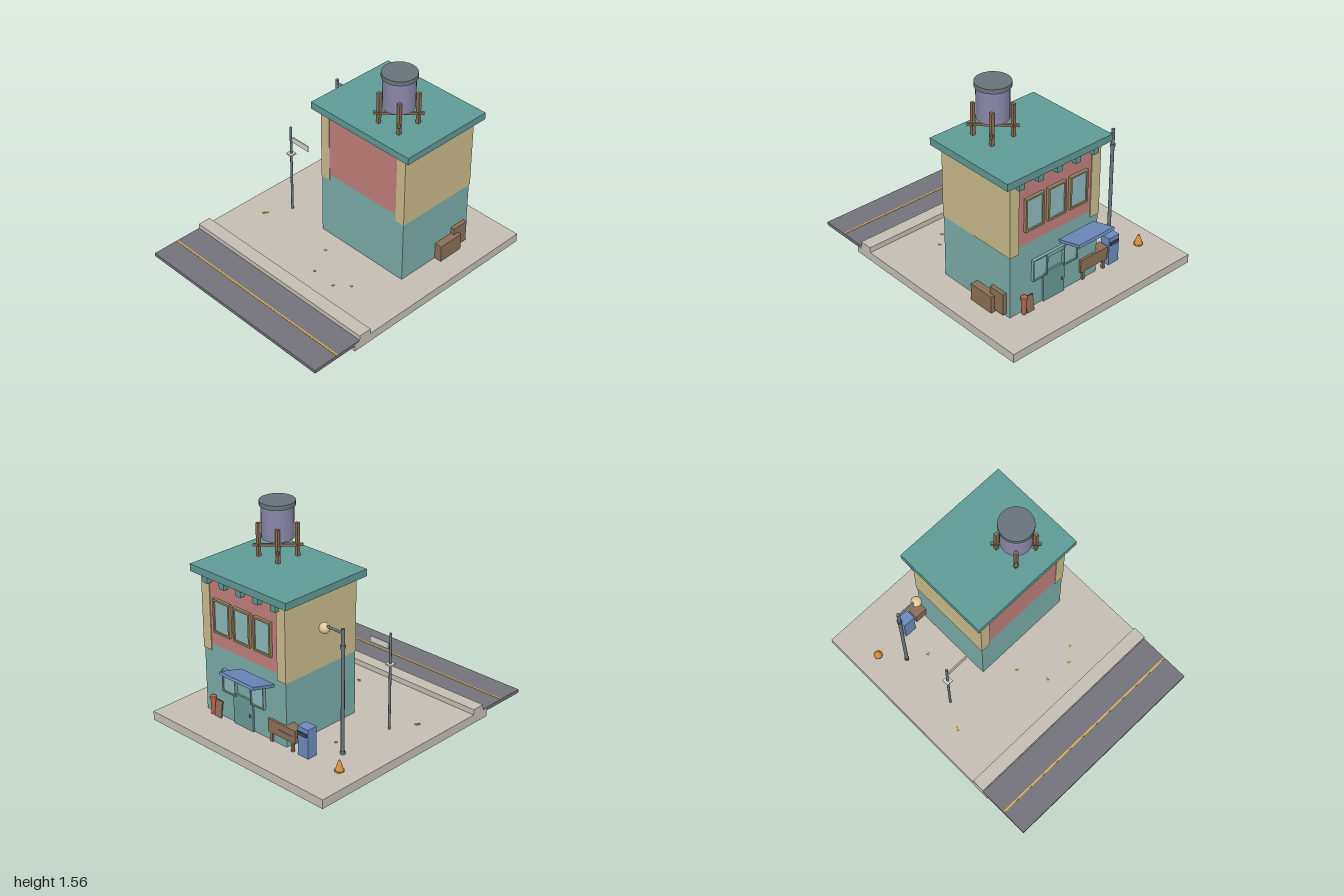
import * as THREE from 'three';

const COLORS = {
  paving: 0xc4beb4, road: 0x74727a, line: 0xd8b04a, teal: 0x7aaca8, roof: 0x5f9a96,
  red: 0xc07f7b, sand: 0xcabb8c, tank: 0x8a86a8, metal: 0x68747b, wood: 0x8b6f57,
  blue: 0x6d8bbd, glow: 0xe0cc9a, orange: 0xd9963f, hydrant: 0xc0604f, glass: 0x8db8bc,
  white: 0xd4d4ce, dark: 0x3f4c63, frame: 0x97875f, door: 0x689a97,
};
const mats = {};
const mat = (c) => (mats[c] ??= new THREE.MeshStandardMaterial({ color: COLORS[c] }));

const GROUND = 0.067;
const BACK = -0.706;

export function createModel() {
  const root = new THREE.Group();

  const add = (parent, name, geo, color, x = 0, y = 0, z = 0) => {
    const m = new THREE.Mesh(geo, mat(color));
    m.name = name;
    m.position.set(x, y, z);
    parent.add(m);
    return m;
  };
  // Box given by its extents
  const box = (parent, name, color, x0, x1, y0, y1, z0, z1) =>
    add(parent, name, new THREE.BoxGeometry(x1 - x0, y1 - y0, z1 - z0), color,
      (x0 + x1) / 2, (y0 + y1) / 2, (z0 + z1) / 2);
  // Upright cylinder given by its bottom and top
  const cyl = (parent, name, color, x, z, y0, y1, rBottom, rTop = rBottom, sides = 16) =>
    add(parent, name, new THREE.CylinderGeometry(rTop, rBottom, y1 - y0, sides), color, x, (y0 + y1) / 2, z);
  const group = (name) => {
    const g = new THREE.Group();
    g.name = name;
    root.add(g);
    return g;
  };

  // Ground, kerb and road
  const street = group('street');
  box(street, 'pavement', 'paving', -0.82, 0.82, 0, GROUND, -1, 0.64);
  box(street, 'kerb', 'paving', -0.82, 0.82, 0.05, 0.108, 0.495, 0.595);
  box(street, 'road', 'road', -0.82, 0.82, 0.045, 0.071, 0.595, 1);
  box(street, 'roadLine', 'line', -0.82, 0.82, 0.07, 0.0735, 0.794, 0.806);

  // Scattered scraps on the pavement
  [[-0.62, 0.12], [-0.63, 0.137], [-0.39, -0.43], [-0.01, 0.11], [0.1, 0.32], [0.3, 0.335], [0.395, 0.25]]
    .forEach(([x, z], i) => {
      box(street, 'scrap', 'line', x - 0.009, x + 0.009, GROUND, GROUND + 0.006, z - 0.008, z + 0.008).rotation.y = i;
    });

  // Building shell
  const house = group('building');
  box(house, 'groundFloor', 'teal', -0.2, 0.587, GROUND, 0.594, -0.704, -0.046);
  box(house, 'upperFloor', 'red', -0.13, 0.52, 0.594, 1.104, -0.704, -0.046);
  for (const [x0, x1] of [[-0.205, -0.125], [0.515, 0.592]])
    box(house, 'sideWall', 'sand', x0, x1, 0.545, 1.104, -0.71, -0.042);
  box(house, 'roof', 'roof', -0.26, 0.652, 1.104, 1.157, -0.753, 0);
  for (let i = 0; i < 5; i++) {
    const x = -0.13 + i * 0.1625;
    box(house, 'roofBracket', 'roof', x - 0.023, x + 0.023, 1.053, 1.104, -0.742, BACK + 0.01);
  }

  // Framed window: outline with a hole and a recessed pane
  const windowAt = (name, x, y, w, h, rim, frameColor) => {
    const s = new THREE.Shape();
    const rect = (p, a, b) => p.moveTo(-a, -b).lineTo(a, -b).lineTo(a, b).lineTo(-a, b).closePath();
    rect(s, w / 2, h / 2);
    const hole = rect(new THREE.Path(), w / 2 - rim, h / 2 - rim);
    s.holes.push(hole);
    const geo = new THREE.ExtrudeGeometry(s, { depth: 0.026, bevelEnabled: false });
    add(house, name + 'Frame', geo, frameColor, x, y, -0.727);
    box(house, name + 'Pane', 'glass', x - w / 2 + rim, x + w / 2 - rim, y - h / 2 + rim, y + h / 2 - rim, -0.717, -0.7);
  };
  for (const x of [0, 0.195, 0.39]) windowAt('upperWindow', x, 0.825, 0.16, 0.25, 0.014, 'frame');

  // Shopfront: two windows, lintel, door and awning
  for (const x of [0.06, 0.335]) windowAt('shopWindow', x, 0.362, 0.13, 0.166, 0.008, 'teal');
  box(house, 'doorLintel', 'teal', 0.12, 0.275, 0.415, 0.445, -0.725, -0.7);
  box(house, 'door', 'door', 0.11, 0.3, GROUND, 0.3, -0.718, -0.7);
  cyl(house, 'doorKnob', 'metal', 0.135, -0.72, 0.17, 0.19, 0.007);
  const awning = box(house, 'awning', 'blue', -0.13, 0.19, 0.532, 0.554, -0.934, -0.736);
  awning.rotation.x = 0.26;

  // Rooftop water tank on four legs with crossed braces
  const tower = group('waterTower');
  const tx = 0.325, tz = -0.248;
  cyl(tower, 'tank', 'tank', tx, tz, 1.295, 1.53, 0.113, 0.113, 24);
  cyl(tower, 'tankLid', 'metal', tx, tz, 1.527, 1.56, 0.124, 0.124, 24);
  for (const sx of [-1, 1]) {
    for (const sz of [-1, 1]) {
      const x = tx + sx * 0.093, z = tz + sz * 0.093;
      box(tower, 'towerLeg', 'wood', x - 0.012, x + 0.012, 1.155, 1.397, z - 0.012, z + 0.012);
    }
    const brace = box(tower, 'towerBrace', 'wood', tx - 0.17, tx + 0.17, 1.227, 1.245, tz - 0.01, tz + 0.01);
    brace.rotation.y = sx * Math.PI / 4;
  }

  // Street lamp
  const lamp = group('streetLamp');
  cyl(lamp, 'lampPost', 'metal', -0.525, -0.508, GROUND, 0.985, 0.013);
  cyl(lamp, 'lampCollar', 'metal', -0.525, -0.508, 0.845, 0.867, 0.019);
  cyl(lamp, 'lampFoot', 'metal', -0.525, -0.508, GROUND, 0.09, 0.017);
  const arm = cyl(lamp, 'lampArm', 'metal', -0.445, -0.508, 0.87, 1.04, 0.009);
  arm.rotation.z = Math.PI / 2;
  add(lamp, 'lampGlobe', new THREE.SphereGeometry(0.038, 20, 14), 'glow', -0.363, 0.935, -0.508);

  // Street sign
  const sign = group('streetSign');
  cyl(sign, 'signPost', 'metal', -0.525, -0.05, GROUND, 0.79, 0.009);
  box(sign, 'signBoard', 'white', -0.508, -0.346, 0.67, 0.714, -0.054, -0.046);
  box(sign, 'signPlate', 'white', -0.55, -0.5, 0.555, 0.566, -0.075, -0.025);

  // Mailbox
  const mail = group('mailbox');
  box(mail, 'mailboxBody', 'blue', -0.41, -0.315, GROUND, 0.284, -0.715, -0.636);
  box(mail, 'mailboxFlap', 'dark', -0.4, -0.325, 0.225, 0.25, -0.724, -0.71);

  // Wooden bench beside the back wall
  const bench = group('bench');
  box(bench, 'benchUpper', 'wood', -0.297, -0.04, 0.187, 0.235, -0.722, -0.64);
  box(bench, 'benchLower', 'wood', -0.295, -0.04, 0.135, 0.185, -0.72, -0.642);
  for (const x of [-0.265, -0.07])
    box(bench, 'benchLeg', 'wood', x - 0.009, x + 0.009, GROUND, 0.14, -0.72, -0.7);

  // Crates along the side wall
  const crates = group('crates');
  box(crates, 'longCrate', 'wood', 0.58, 0.645, GROUND, 0.198, -0.585, -0.38);
  box(crates, 'tallCrate', 'wood', 0.58, 0.617, 0.085, 0.25, -0.67, -0.54);

  // Hydrant and leaning board
  const hydrant = group('hydrant');
  cyl(hydrant, 'hydrantBody', 'hydrant', 0.49, -0.735, GROUND + 0.005, 0.19, 0.015, 0.018, 12);
  cyl(hydrant, 'hydrantCap', 'hydrant', 0.49, -0.735, 0.188, 0.21, 0.024, 0.024, 12);
  const board = box(root, 'leaningBoard', 'wood', 0.405, 0.47, GROUND, 0.19, -0.736, -0.726);
  board.rotation.x = 0.14;

  // Traffic cone
  const cone = group('trafficCone');
  cyl(cone, 'coneFoot', 'orange', -0.655, -0.675, GROUND, 0.075, 0.034, 0.034, 14);
  cyl(cone, 'coneBody', 'orange', -0.655, -0.675, 0.073, 0.145, 0.031, 0.007, 14);

  return root;
}
